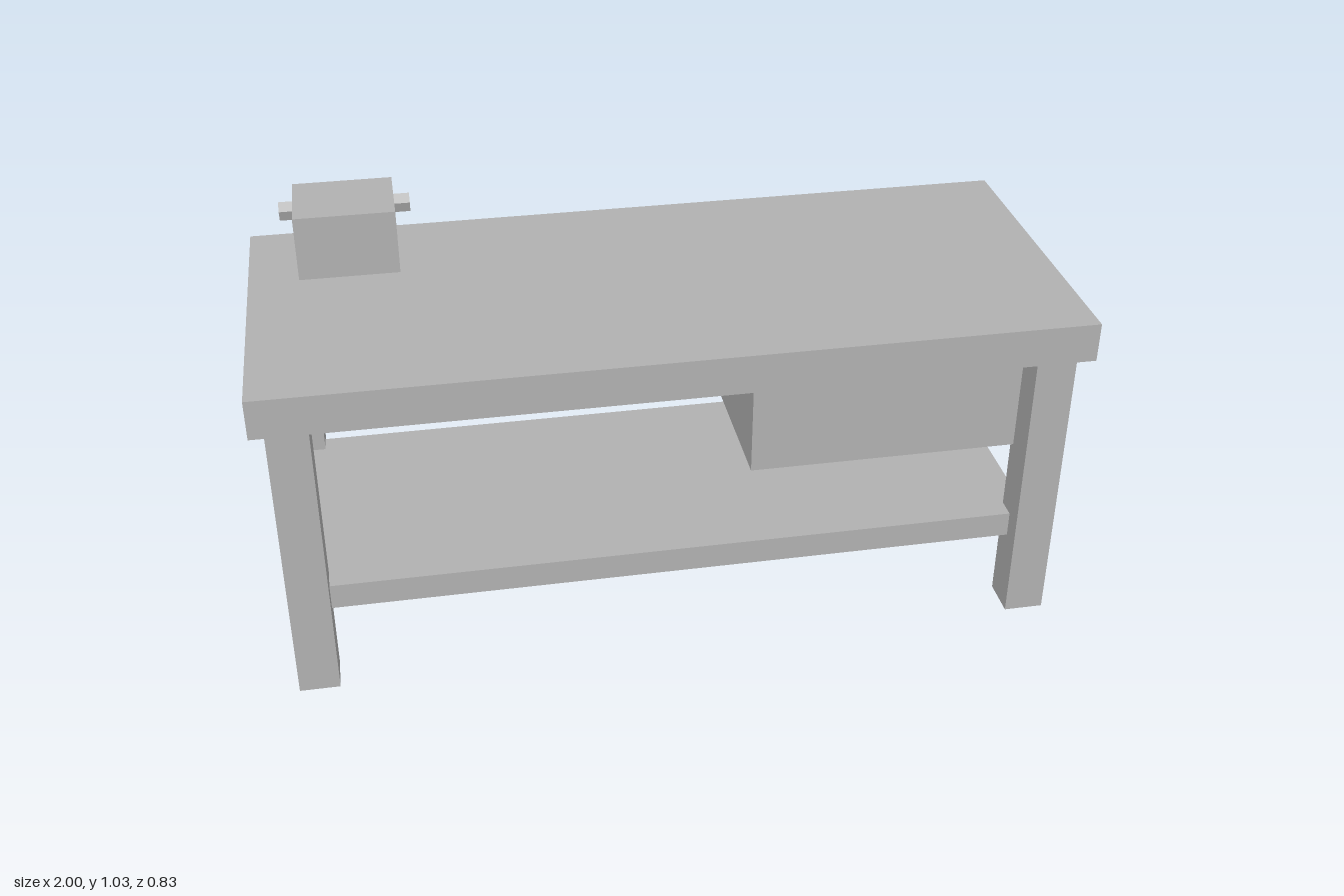
import * as THREE from 'three';

const grey = new THREE.MeshStandardMaterial({ color: 0xb0b0b0, flatShading: true });
grey.name = 'plain grey';

export function createModel() {
  const bench = new THREE.Group();
  bench.name = 'workbench';

  const add = (name, geometry, x, y, z) => {
    const mesh = new THREE.Mesh(geometry, grey);
    mesh.name = name;
    mesh.position.set(x, y, z);
    bench.add(mesh);
  };
  const box = (name, w, h, d, x, y, z) => add(name, new THREE.BoxGeometry(w, h, d), x, y, z);

  // Thick top and lower shelf, which reaches the leg centres
  box('benchTop', 2, 0.1, 0.833, 0, 0.817, 0);
  box('lowerShelf', 1.833, 0.067, 0.667, 0, 0.242, 0);

  // Four square legs
  for (const sx of [-1, 1]) {
    for (const sz of [-1, 1]) {
      const name = (sz > 0 ? 'front' : 'back') + (sx > 0 ? 'Left' : 'Right') + 'Leg';
      box(name, 0.1, 0.767, 0.1, sx * 0.917, 0.3835, sz * 0.333);
    }
  }

  // Drawer hanging under the top, with its handle at the back
  box('drawer', 0.667, 0.233, 0.75, 0.5, 0.6365, 0);
  box('drawerHandle', 0.167, 0.05, 0.042, 0.5, 0.61, -0.396);

  // Vise block and its five-sided bar
  box('viseBlock', 0.25, 0.167, 0.208, -0.75, 0.95, -0.25);
  const bar = new THREE.CylinderGeometry(0.025, 0.025, 0.333, 5, 1, false, -Math.PI / 2);
  bar.rotateZ(-Math.PI / 2);
  add('viseBar', bar, -0.75, 0.952, -0.375);

  return bench;
}
